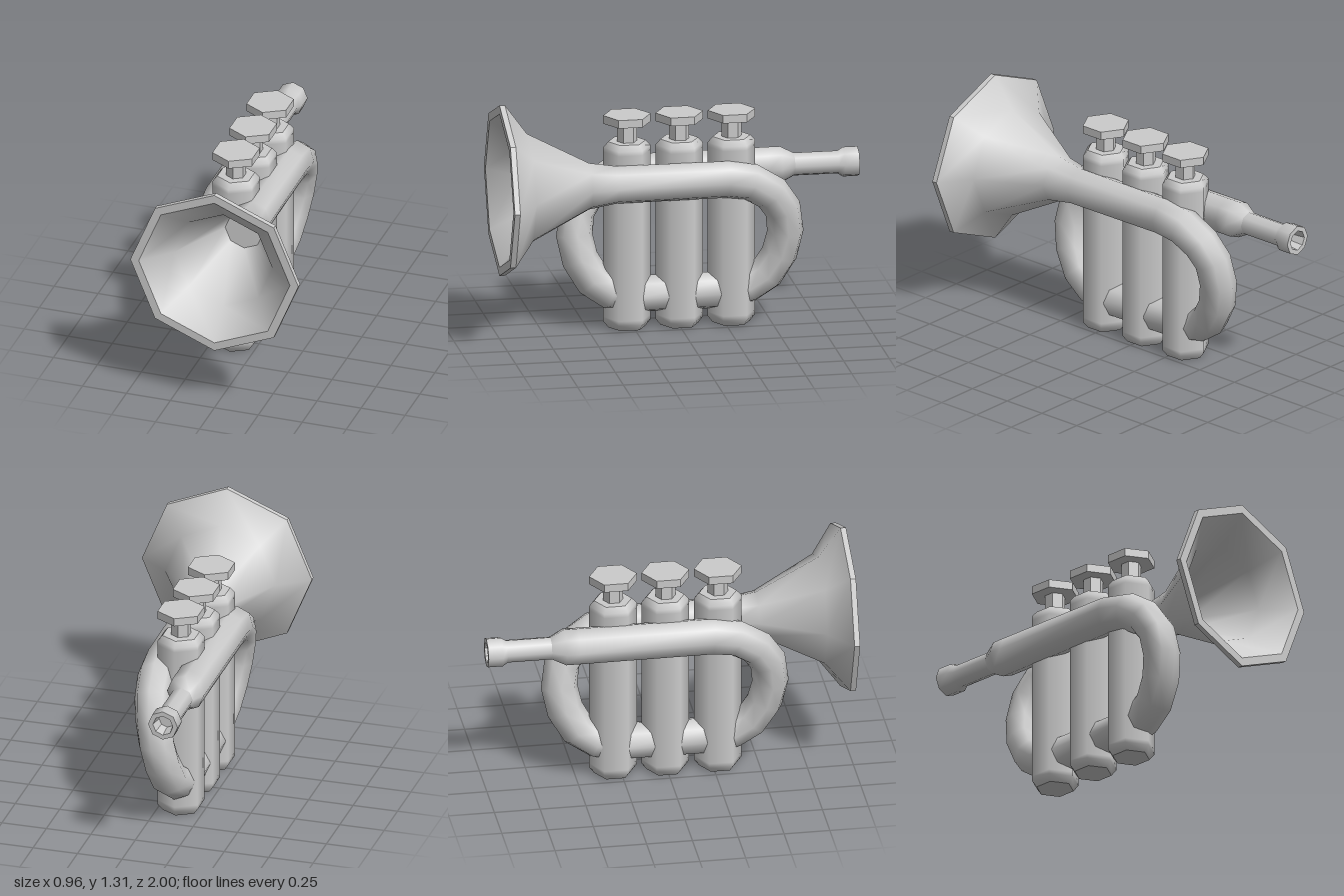
import * as THREE from 'three';

const smooth = new THREE.MeshStandardMaterial({ color: 0xcccccc });
const faceted = new THREE.MeshStandardMaterial({ color: 0xcccccc, flatShading: true });

const PIPE_Y = 0.83;      // height of lead pipe and bell
const LEAD_X = -0.23;     // lead pipe
const VALVE_X = -0.12;    // valve row
const LOW_Y = 0.18;       // low pipe through the valves
const SIDES = 8;

function part(name, geometry, material, x = 0, y = 0, z = 0) {
  const mesh = new THREE.Mesh(geometry, material);
  mesh.name = name;
  mesh.position.set(x, y, z);
  return mesh;
}

// Octagonal tube through rings of [x, y, z, radius], kept upright about x.
function sweep(rings) {
  const centres = rings.map(([x, y, z]) => new THREE.Vector3(x, y, z));
  const xAxis = new THREE.Vector3(1, 0, 0);
  const positions = [], index = [];
  rings.forEach((ring, i) => {
    const c = centres[i];
    const before = centres[Math.max(i - 1, 0)], after = centres[Math.min(i + 1, rings.length - 1)];
    const t = new THREE.Vector3();
    if (i > 0) t.add(c.clone().sub(before).normalize());
    if (i < rings.length - 1) t.add(after.clone().sub(c).normalize());
    t.normalize();
    const s = xAxis.clone().addScaledVector(t, -t.x).normalize();
    const u = t.clone().cross(s);
    for (let j = 0; j < SIDES; j++) {
      const a = (j / SIDES) * Math.PI * 2;
      const p = c.clone().addScaledVector(s, Math.cos(a) * ring[3]).addScaledVector(u, Math.sin(a) * ring[3]);
      positions.push(p.x, p.y, p.z);
      if (i < rings.length - 1) {
        const k = i * SIDES + j, n = i * SIDES + ((j + 1) % SIDES);
        index.push(k, n, k + SIDES, n, n + SIDES, k + SIDES);
      }
    }
  });
  const g = new THREE.BufferGeometry();
  g.setAttribute('position', new THREE.Float32BufferAttribute(positions, 3));
  g.setIndex(index);
  g.computeVertexNormals();
  return g;
}

// Lathe about the z axis from [radius, z] points; ascending z faces outwards.
function latheZ(points) {
  return new THREE.LatheGeometry(points.map(([r, z]) => new THREE.Vector2(r, z)), SIDES).rotateX(Math.PI / 2);
}

// U-bend from the upper pipe down to the low pipe: [y, z, share of sideways shift, radius]
const BEND = [
  [0.83, 0.24, 0, 0.103], [0.808, 0.37, 0.04, 0.102], [0.735, 0.485, 0.18, 0.101],
  [0.64, 0.55, 0.36, 0.1], [0.51, 0.568, 0.55, 0.1], [0.38, 0.54, 0.74, 0.1],
  [0.265, 0.472, 0.9, 0.1], [0.2, 0.375, 1, 0.1], [0.18, 0.27, 1, 0.1],
];
const bend = (topX, dir) => BEND.map(([y, z, k, r]) =>
  [topX + (VALVE_X - topX) * k, y, dir * z - 0.008, r]);

function makeValve(z) {
  const valve = new THREE.Group();
  valve.name = 'valve';
  valve.position.set(VALVE_X, 0, z);
  const profile = [[0.103, 0], [0.13, 0.035], [0.13, 0.06], [0.13, 0.985], [0.13, 1.01], [0.103, 1.04]];
  valve.add(
    part('valveCasing', new THREE.LatheGeometry(profile.map(p => new THREE.Vector2(...p)), 6), smooth),
    part('valveEnds', new THREE.CylinderGeometry(0.103, 0.103, 1.04, 6), faceted, 0, 0.52),
    part('valveStem', new THREE.CylinderGeometry(0.055, 0.055, 0.13, 6), faceted, 0, 1.09),
    part('fingerButton', new THREE.CylinderGeometry(0.13, 0.13, 0.045, 6), faceted, 0, 1.165),
  );
  return valve;
}

export function createModel() {
  const horn = new THREE.Group();
  horn.name = 'horn';

  // Mouthpiece: outer shank, flat lip and hollow cup
  const mouthpiece = new THREE.Group();
  mouthpiece.name = 'mouthpiece';
  mouthpiece.position.set(LEAD_X, PIPE_Y, 0);
  mouthpiece.add(
    part('mouthpieceShank', latheZ([[0.083, -1], [0.083, -0.92], [0.064, -0.89], [0.064, -0.64]]), smooth),
    part('mouthpieceLip', latheZ([[0.056, -1], [0.083, -1]]), faceted),
    part('mouthpieceCup', latheZ([[0, -0.92], [0.045, -0.92], [0.056, -1]]), faceted),
  );
  horn.add(mouthpiece);

  // Lead pipe runs forward and bends down into the front valve
  horn.add(part('leadPipe', sweep([
    [LEAD_X, PIPE_Y, -0.65, 0.064], [LEAD_X, PIPE_Y, -0.575, 0.104], [LEAD_X, PIPE_Y, -0.5, 0.104],
    ...bend(LEAD_X, 1),
  ]), smooth));

  // Low pipe joins the valves
  horn.add(part('valvePipe', sweep([
    [VALVE_X, LOW_Y, 0.28, 0.102], [VALVE_X, LOW_Y, -0.29, 0.102],
  ]), smooth));

  // Bell pipe bends up from the rear valve and flares at the front
  horn.add(part('bellPipe', sweep([
    ...bend(0, -1).reverse(),
    [0, PIPE_Y, 0.36, 0.105], [0, PIPE_Y, 0.51, 0.13], [0, PIPE_Y, 0.85, 0.312], [0, PIPE_Y, 0.97, 0.478],
  ]), smooth));

  // Bell rim, inner surface and throat
  horn.add(
    part('bellRim', latheZ([[0.478, 0.97], [0.478, 1], [0.43, 1]]), faceted, 0, PIPE_Y),
    part('bellInside', latheZ([[0.43, 1], [0.28, 0.85], [0.108, 0.5]]), smooth, 0, PIPE_Y),
    part('bellThroat', new THREE.CircleGeometry(0.108, SIDES, Math.PI / 2), faceted, 0, PIPE_Y, 0.5),
  );

  // Three valves in a row
  for (let i = -1; i <= 1; i++) horn.add(makeValve(-0.005 + i * 0.286));

  return horn;
}
